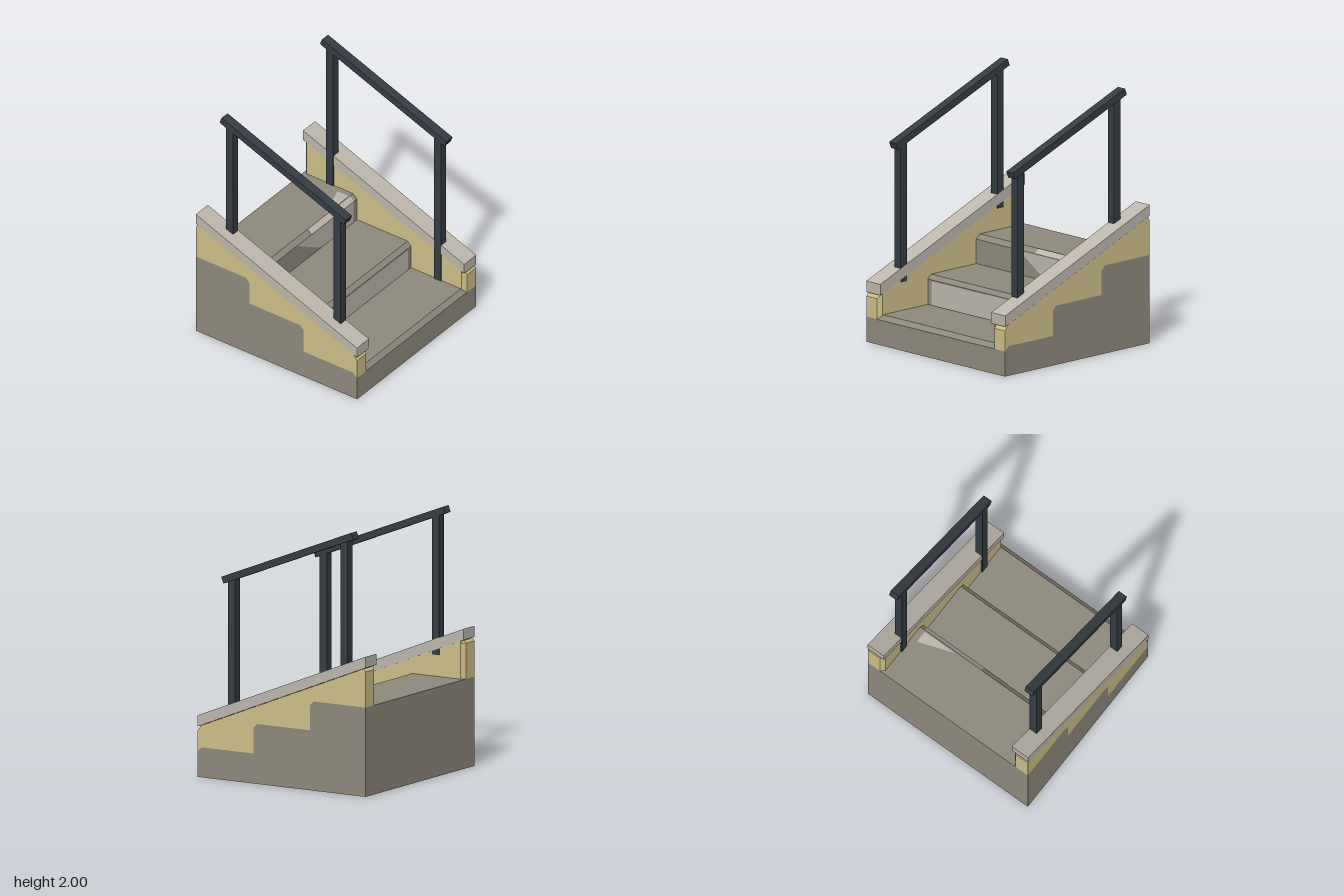
import * as THREE from 'three';

const mat = (name, color) => {
  const m = new THREE.MeshStandardMaterial({ color });
  m.name = name;
  return m;
};

// Extrude a side outline of [z, y] points between two x positions
function sideExtrude(points, x0, x1) {
  const shape = new THREE.Shape(points.map(([z, y]) => new THREE.Vector2(-z, y)));
  const geo = new THREE.ExtrudeGeometry(shape, { depth: x1 - x0, bevelEnabled: false });
  geo.rotateY(Math.PI / 2);
  geo.translate(x0, 0, 0);
  return geo;
}

const flatShape = (points) => new THREE.Shape(points.map(([x, y]) => new THREE.Vector2(x, y)));

export function createModel() {
  const stone = mat('stone', 0x8e897c);
  const paleStone = mat('pale stone', 0xbcb6ac);
  const sandstone = mat('sandstone', 0xcdbe88);
  const metal = mat('dark metal', 0x353c43);

  const model = new THREE.Group();
  const add = (name, geo, material, parent = model) => {
    const mesh = new THREE.Mesh(geo, material);
    mesh.name = name;
    parent.add(mesh);
    return mesh;
  };

  // Stair outline with chamfered nosings, front to back
  const H = 0.755;
  const treads = [
    [H, 0.195], [0.72, 0.23], [0.253, 0.23],
    [0.253, 0.428], [0.22, 0.46], [-0.253, 0.46],
    [-0.253, 0.65], [-0.29, 0.685], [-H, 0.685],
  ];
  add('steps', sideExtrude([[H, 0.003], ...treads, [-H, 0.003]], -H, H), stone);
  add('underside', new THREE.BoxGeometry(1.22, 0.004, 2 * H).translate(0, 0.002, 0), paleStone);

  // Pale worn patches on the risers, the top nosing and the top tread
  add('lowerRiserPatch', new THREE.BoxGeometry(1.135, 0.19, 0.004).translate(0, 0.327, 0.253), paleStone);
  const patch = flatShape([[-0.15, 0.65], [0.08, 0.505], [0.17, 0.462], [0.565, 0.462], [0.565, 0.65]]);
  add('upperRiserPatch', new THREE.ExtrudeGeometry(patch, { depth: 0.004, bevelEnabled: false })
    .translate(0, 0, -0.255), paleStone);
  add('nosingPatch', sideExtrude(
    [[-0.253, 0.65], [-0.251, 0.652], [-0.288, 0.687], [-0.29, 0.685]], 0.03, 0.57), paleStone);
  const wear = flatShape([[0.27, 0.3], [0.56, 0.3], [0.56, 0.4]]);
  add('treadPatch', new THREE.ShapeGeometry(wear).rotateX(-Math.PI / 2).translate(0, 0.687, 0), paleStone);

  for (const s of [1, -1]) {
    const side = new THREE.Group();
    side.name = s > 0 ? 'leftSide' : 'rightSide';
    model.add(side);
    const span = (points, a, b) => sideExtrude(points, Math.min(s * a, s * b), Math.max(s * a, s * b));

    // Side wall standing on the steps, its inner upright edges chamfered
    const outline = [...treads, [-H, 0.96], [-0.735, 0.98], [0.725, 0.397], [H, 0.355]];
    add('sideWall', span(outline, 0.64, H), sandstone, side);
    const inner = span(outline, 0.61, 0.64);
    const p = inner.attributes.position;
    for (let i = 0; i < p.count; i++) {
      if (Math.abs(p.getX(i)) < 0.625) p.setZ(i, THREE.MathUtils.clamp(p.getZ(i), -0.725, 0.725));
    }
    inner.computeVertexNormals();
    add('sideWallInnerEdge', inner, sandstone, side);
    add('wallFooting', new THREE.BoxGeometry(0.145, 0.004, 2 * H).translate(s * 0.6825, 0.002, 0), sandstone, side);

    // Sloping coping
    add('coping', span([[H, 0.387], [H, 0.472], [-H, 1.075], [-H, 0.99]], 0.604, 0.757), paleStone, side);

    // Handrail and its two posts; the left posts run down to the treads
    const postX = s > 0 ? 0.633 : 0.639;
    const posts = [
      ['frontPost', 0.507, s > 0 ? 0.23 : 0.45, 1.525],
      ['backPost', -0.502, s > 0 ? 0.685 : 0.85, 1.93],
    ];
    for (const [name, z, bottom, top] of posts) {
      add(name, new THREE.BoxGeometry(0.066, top - bottom, 0.065)
        .translate(s * postX, (top + bottom) / 2, z), metal, side);
    }
    const rail = add('handrail', new THREE.BoxGeometry(0.076, 0.054, 1.253), metal, side);
    rail.position.set(s * 0.638, 1.742, 0);
    rail.rotation.x = Math.atan2(0.456, 1.167);
  }
  return model;
}
